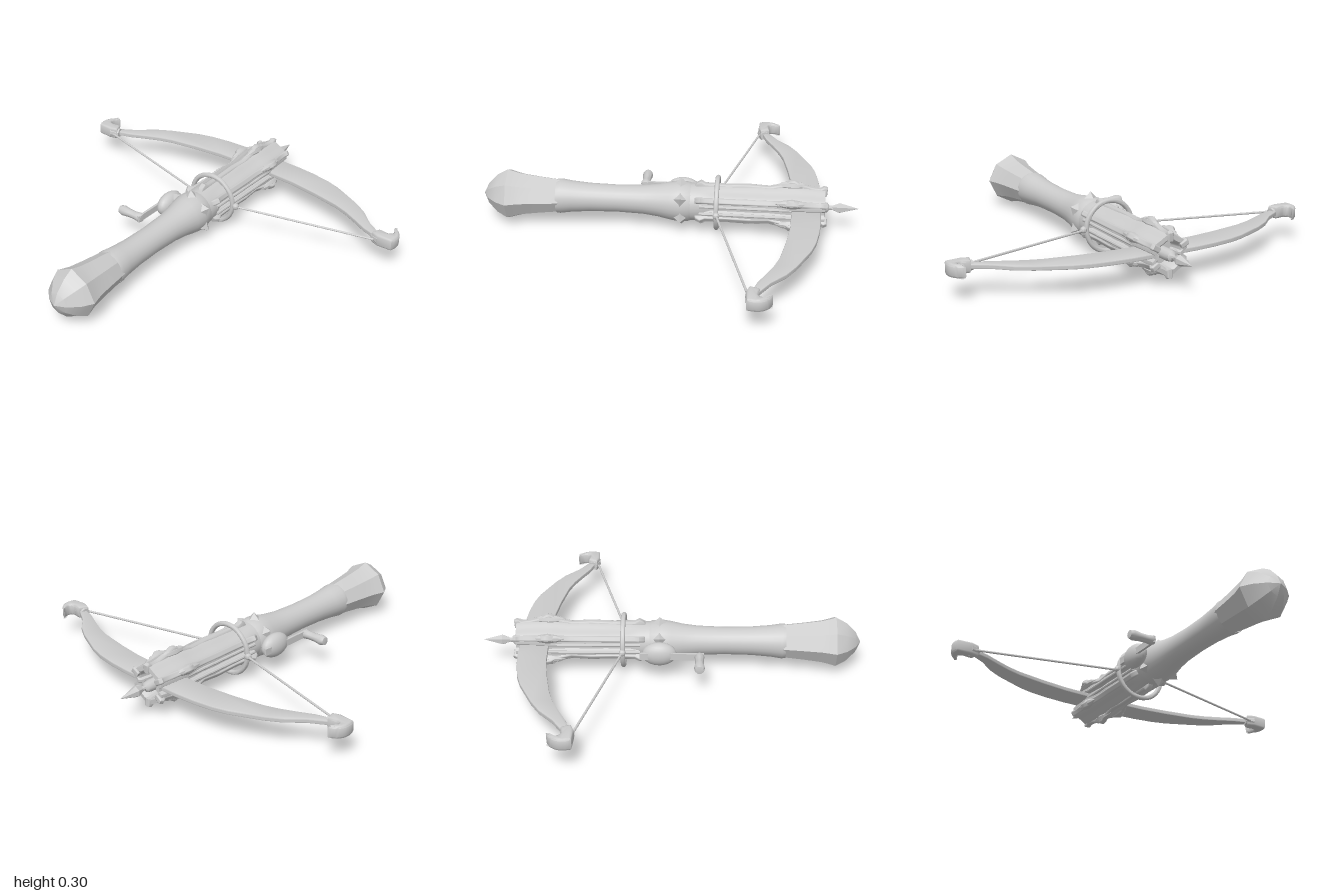
import * as THREE from 'three';
import { toCreasedNormals } from 'three/addons/utils/BufferGeometryUtils.js';

const mat = new THREE.MeshStandardMaterial({ color: 0xcccccc, roughness: 0.8, side: THREE.DoubleSide });
const AXIS_X = -0.006, AXIS_Y = 0.16;
const V = (x, y, z) => new THREE.Vector3(x, y, z);

function add(parent, name, geo, crease = 0.6) {
  const mesh = new THREE.Mesh(toCreasedNormals(geo, crease), mat);
  mesh.name = name;
  parent.add(mesh);
  return mesh;
}

// Turned solid along z; profile is [z, radius], shape(angle, z) scales the radius
function turned(profile, sides, shape = () => 1) {
  const geo = new THREE.LatheGeometry(profile.map(([z, r]) => new THREE.Vector2(r, z)), sides);
  geo.rotateX(Math.PI / 2);
  const p = geo.attributes.position;
  for (let i = 0; i < p.count; i++) {
    const k = shape(Math.atan2(p.getY(i), p.getX(i)), p.getZ(i));
    p.setXY(i, p.getX(i) * k, p.getY(i) * k);
  }
  return geo;
}

// Rod between two points
function rod(a, b, r0, r1 = r0, sides = 8) {
  const d = b.clone().sub(a);
  const geo = new THREE.CylinderGeometry(r1, r0, d.length(), sides);
  geo.applyQuaternion(new THREE.Quaternion().setFromUnitVectors(V(0, 1, 0), d.clone().normalize()));
  const m = a.clone().add(b).multiplyScalar(0.5);
  return geo.translate(m.x, m.y, m.z);
}

// Flat plate from an outline, centred on its thickness
function plate(shape, thick, bevel, steps = 6) {
  const geo = new THREE.ExtrudeGeometry(shape, {
    depth: thick - 2 * bevel, bevelSize: bevel, bevelThickness: bevel, bevelOffset: -bevel,
    bevelSegments: 2, curveSegments: steps,
  });
  return geo.translate(0, 0, -(thick / 2 - bevel));
}

function buildStock(group) {
  const stock = new THREE.Group();
  stock.name = 'stock';
  stock.position.set(AXIS_X, AXIS_Y, 0);
  group.add(stock);

  // Grip swelling to the collar
  add(stock, 'grip', turned([
    [-0.14, 0.085], [-0.1, 0.104], [-0.05, 0.108], [0.0, 0.1], [0.06, 0.087], [0.14, 0.077],
    [0.28, 0.072], [0.42, 0.075], [0.52, 0.083], [0.58, 0.092], [0.6, 0.09],
  ], 24), 1);
  // Faceted pommel with pointed cap
  add(stock, 'pommel', turned([
    [0.56, 0.088], [0.6, 0.096], [0.7, 0.108], [0.79, 0.121], [0.835, 0.134], [0.86, 0.142],
    [0.915, 0.11], [0.965, 0.058], [0.993, 0],
  ], 8, (a) => 0.97 + 0.03 * Math.cos(4 * a)), 0.35);

  // Barrel: six lobes, hollow mouth, a long slot on each side
  const lobes = (a, z) => {
    const side = Math.abs(Math.sin(a)) < 0.16 && z < -0.17;
    return 1 - 0.05 * Math.cos(6 * a) * (z < -0.2 ? 1 : 0) - (side ? 0.16 : 0);
  };
  add(stock, 'barrel', turned([
    [-0.73, 0], [-0.73, 0.06], [-0.8, 0.066], [-0.812, 0.078], [-0.81, 0.1], [-0.77, 0.104],
    [-0.7, 0.108], [-0.65, 0.113], [-0.6, 0.109], [-0.52, 0.1], [-0.45, 0.104], [-0.35, 0.1],
    [-0.22, 0.098], [-0.16, 0.098], [-0.1, 0.098],
  ], 60, lobes), 0.7);

  // Six ribs with claws, and six pointed studs on the collar
  const rib = new THREE.Shape([
    [0.13, 0.085], [0.14, 0.112], [0.165, 0.126], [0.19, 0.112], [0.3, 0.11], [0.42, 0.114],
    [0.52, 0.108], [0.56, 0.118], [0.6, 0.128], [0.625, 0.146], [0.65, 0.15], [0.68, 0.132],
    [0.74, 0.114], [0.785, 0.108], [0.805, 0.12], [0.823, 0.112], [0.82, 0.07], [0.7, 0.07],
  ].map(([x, y]) => new THREE.Vector2(x, y)));
  for (let i = 0; i < 6; i++) {
    const angle = i * Math.PI / 3;
    const r = add(stock, 'rib', plate(rib, 0.032, 0.008).rotateY(Math.PI / 2), 0.9);
    r.rotation.z = angle;
    const claw = add(stock, 'claw', turned([[-0.075, 0], [-0.05, 0.018], [0, 0.026], [0.05, 0.018], [0.09, 0]], 8));
    claw.position.set(-Math.sin(angle) * 0.117, Math.cos(angle) * 0.117, -0.64);
    claw.rotation.z = angle;
    const stud = add(stock, 'collarStud', new THREE.ConeGeometry(0.05, 0.05, 4), 0.2);
    stud.position.set(-Math.sin(angle) * 0.112, Math.cos(angle) * 0.112, -0.06);
    stud.rotation.z = angle;
  }
  // Rails lining the side slots
  for (const s of [1, -1]) for (const y of [0.021, -0.021]) {
    add(stock, 'slotRail', rod(V(s * 0.097, y, -0.16), V(s * 0.1, y, -0.64), 0.009));
  }
}

function buildBolt(group) {
  const bolt = new THREE.Group();
  bolt.name = 'bolt';
  bolt.position.set(AXIS_X - 0.004, AXIS_Y - 0.004, 0);
  group.add(bolt);
  add(bolt, 'boltShaft', rod(V(0, 0, -0.7), V(0, 0, -0.86), 0.012));
  add(bolt, 'boltSocket', turned([[-0.835, 0.012], [-0.825, 0.026], [-0.8, 0.03], [-0.73, 0.03]], 12));
  add(bolt, 'boltHead', turned([[-0.99, 0], [-0.89, 0.029], [-0.85, 0.012], [-0.845, 0]], 6), 0.3);
}

// One half of the bow, drawn on +x and mirrored by the caller
function buildBowHalf() {
  const half = new THREE.Group();
  // Outline in (x, -z), so that laying it flat puts it in plan
  const outer = [[0.06, 0.79], [0.18, 0.79], [0.29, 0.782], [0.4, 0.765], [0.48, 0.742], [0.56, 0.706],
    [0.64, 0.68 - 0.01], [0.72, 0.622], [0.8, 0.55], [0.9, 0.49]];
  const inner = [[0.9, 0.455], [0.8, 0.485], [0.72, 0.524], [0.64, 0.56], [0.56, 0.586], [0.4, 0.615],
    [0.25, 0.634], [0.06, 0.64]];
  const limb = new THREE.Shape([...outer, ...inner].map(([x, y]) => new THREE.Vector2(x, y)));
  add(half, 'limb', plate(limb, 0.024, 0.006).rotateX(-Math.PI / 2)).position.y = AXIS_Y;

  // Hooked tip and its socket
  const hook = new THREE.Shape();
  hook.moveTo(0.868, 0.452);
  hook.lineTo(0.91, 0.437);
  hook.lineTo(0.99, 0.442);
  hook.quadraticCurveTo(1.003, 0.47, 0.998, 0.505);
  hook.quadraticCurveTo(0.985, 0.55, 0.938, 0.563);
  hook.quadraticCurveTo(0.966, 0.535, 0.956, 0.508);
  hook.quadraticCurveTo(0.945, 0.49, 0.915, 0.499);
  hook.lineTo(0.885, 0.5);
  add(half, 'tipHook', plate(hook, 0.066, 0.011, 8).rotateX(-Math.PI / 2), 0.9).position.y = AXIS_Y + 0.002;
  add(half, 'tipSocket', rod(V(0.865, AXIS_Y, -0.475), V(0.915, AXIS_Y, -0.465), 0.024, 0.034, 10));

  add(half, 'string', rod(V(0.14, AXIS_Y - 0.003, -0.252), V(0.885, AXIS_Y - 0.003, -0.444), 0.006));
  add(half, 'stringKnot', new THREE.SphereGeometry(0.018, 10, 8)).position.set(0.146, AXIS_Y, -0.252);
  return half;
}

function buildCrank(group) {
  const crank = new THREE.Group();
  crank.name = 'crank';
  group.add(crank);
  const hub = add(crank, 'crankHub', new THREE.SphereGeometry(1, 20, 14), 1);
  hub.scale.set(0.046, 0.064, 0.09);
  hub.position.set(-0.152, AXIS_Y, -0.06);
  add(crank, 'crankAxle', rod(V(-0.08, AXIS_Y, -0.06), V(-0.19, AXIS_Y, -0.06), 0.022, 0.022, 12));
  const arm = add(crank, 'crankArm', new THREE.BoxGeometry(0.013, 0.036, 0.33));
  arm.position.set(-0.179, AXIS_Y, 0.005);
  // Hand knob, swollen at the outer end
  const knob = add(crank, 'crankHandle', turned([
    [-0.32, 0], [-0.316, 0.022], [-0.295, 0.028], [-0.25, 0.022], [-0.21, 0.022], [-0.185, 0.026], [-0.17, 0.02], [-0.168, 0],
  ], 12), 0.9);
  knob.rotation.y = Math.PI / 2;
  knob.position.set(0, AXIS_Y, 0.148);
}

export function createModel() {
  const group = new THREE.Group();
  group.name = 'crossbow';
  buildStock(group);
  buildBolt(group);
  buildCrank(group);

  for (const s of [1, -1]) {
    const half = buildBowHalf();
    half.name = s > 0 ? 'leftBow' : 'rightBow';
    half.scale.x = s;
    group.add(half);
  }

  // Sliding ring that carries the string
  const ring = add(group, 'stringRing', new THREE.TorusGeometry(0.133, 0.013, 10, 36), 1);
  ring.position.set(AXIS_X, AXIS_Y, -0.25);
  return group;
}
